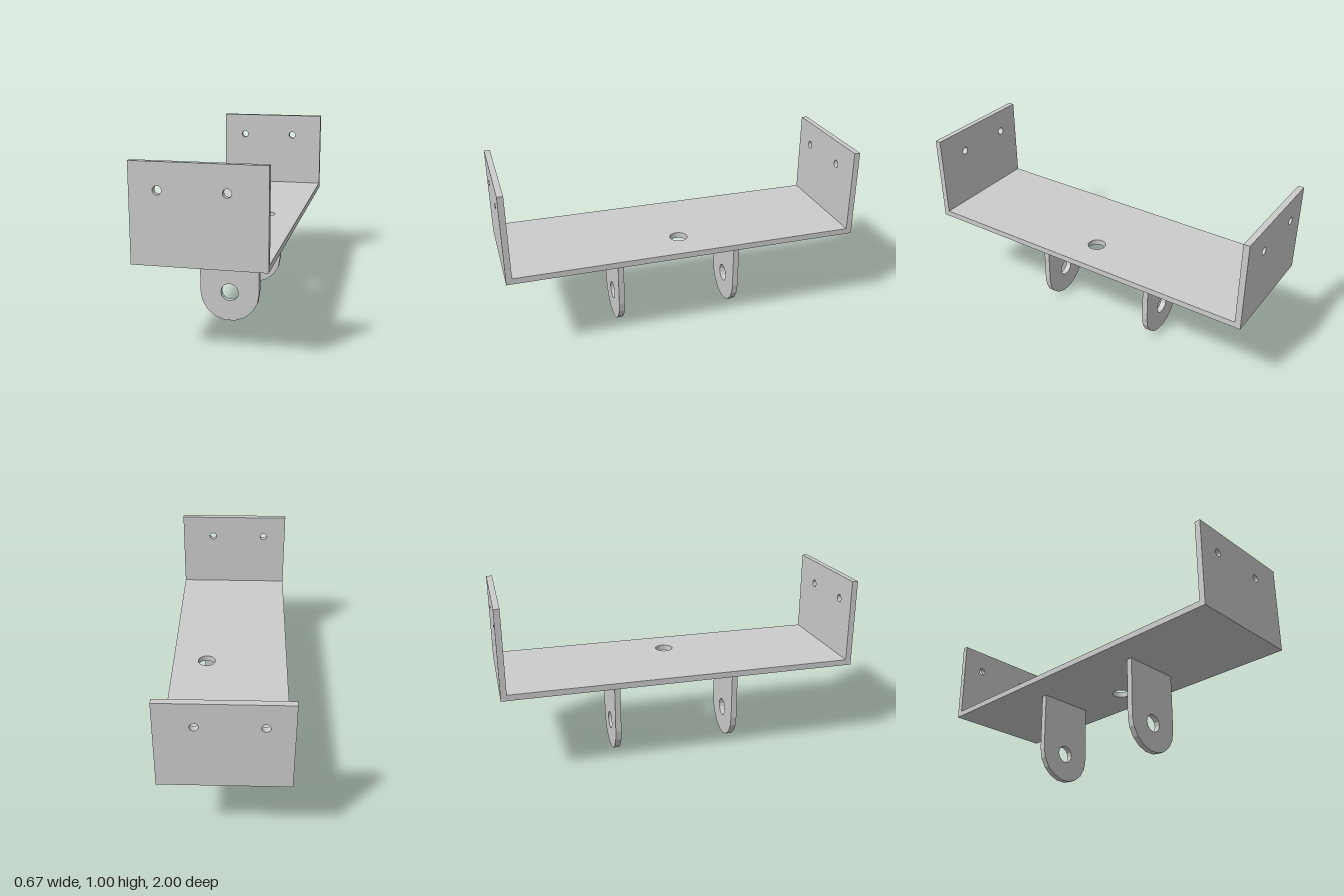
import * as THREE from 'three';

const T = 0.033; // sheet thickness
const W = 0.333; // half width of the channel
const material = new THREE.MeshStandardMaterial({ color: 0xcccccc, flatShading: true });

function arc(cx, cy, r, from, to, segments) {
  return Array.from({ length: segments + 1 }, (_, i) => {
    const a = from + ((to - from) * i) / segments;
    return new THREE.Vector2(cx + r * Math.cos(a), cy + r * Math.sin(a));
  });
}

// Flat plate in XY with round holes [x, y, radius, sides], centred on z = 0
function plate(name, outline, holes) {
  const shape = new THREE.Shape(outline);
  for (const [x, y, r, sides] of holes) {
    shape.holes.push(new THREE.Path(arc(x, y, r, 0, Math.PI * 2, sides).slice(0, -1)));
  }
  const geometry = new THREE.ExtrudeGeometry(shape, { depth: T, bevelEnabled: false });
  geometry.translate(0, 0, -T / 2);
  const mesh = new THREE.Mesh(geometry, material);
  mesh.name = name;
  return mesh;
}

function rect(x0, y0, x1, y1) {
  return [[x0, y0], [x1, y0], [x1, y1], [x0, y1]].map(([x, y]) => new THREE.Vector2(x, y));
}

export function createModel() {
  const group = new THREE.Group();
  group.name = 'mountingBracket';

  // Floor of the channel with its off-centre hole
  const base = plate('basePlate', rect(-W, -1 + T, W, 1 - T), [[0.137, 0, 0.05, 24]]);
  base.rotation.x = -Math.PI / 2;
  base.position.y = 0.5 + T / 2;
  group.add(base);

  for (const [side, s] of [['front', 1], ['back', -1]]) {
    // Upright end plate with two screw holes
    const flange = plate(side + 'Flange', rect(-W, 0.5, W, 1),
      [[-0.194, 0.865, 0.022, 16], [0.139, 0.865, 0.022, 16]]);
    flange.position.z = s * (1 - T / 2);
    group.add(flange);

    // Hanging lug with a rounded end and pivot hole
    const r = 0.167, cy = 0.165;
    const outline = [
      ...arc(0, cy, r, -Math.PI, 0, 9),
      new THREE.Vector2(r, 0.5),
      new THREE.Vector2(-r, 0.5),
    ];
    const lug = plate(side + 'Lug', outline, [[0, cy, 0.05, 14]]);
    lug.position.z = s * 0.35;
    group.add(lug);
  }
  return group;
}
